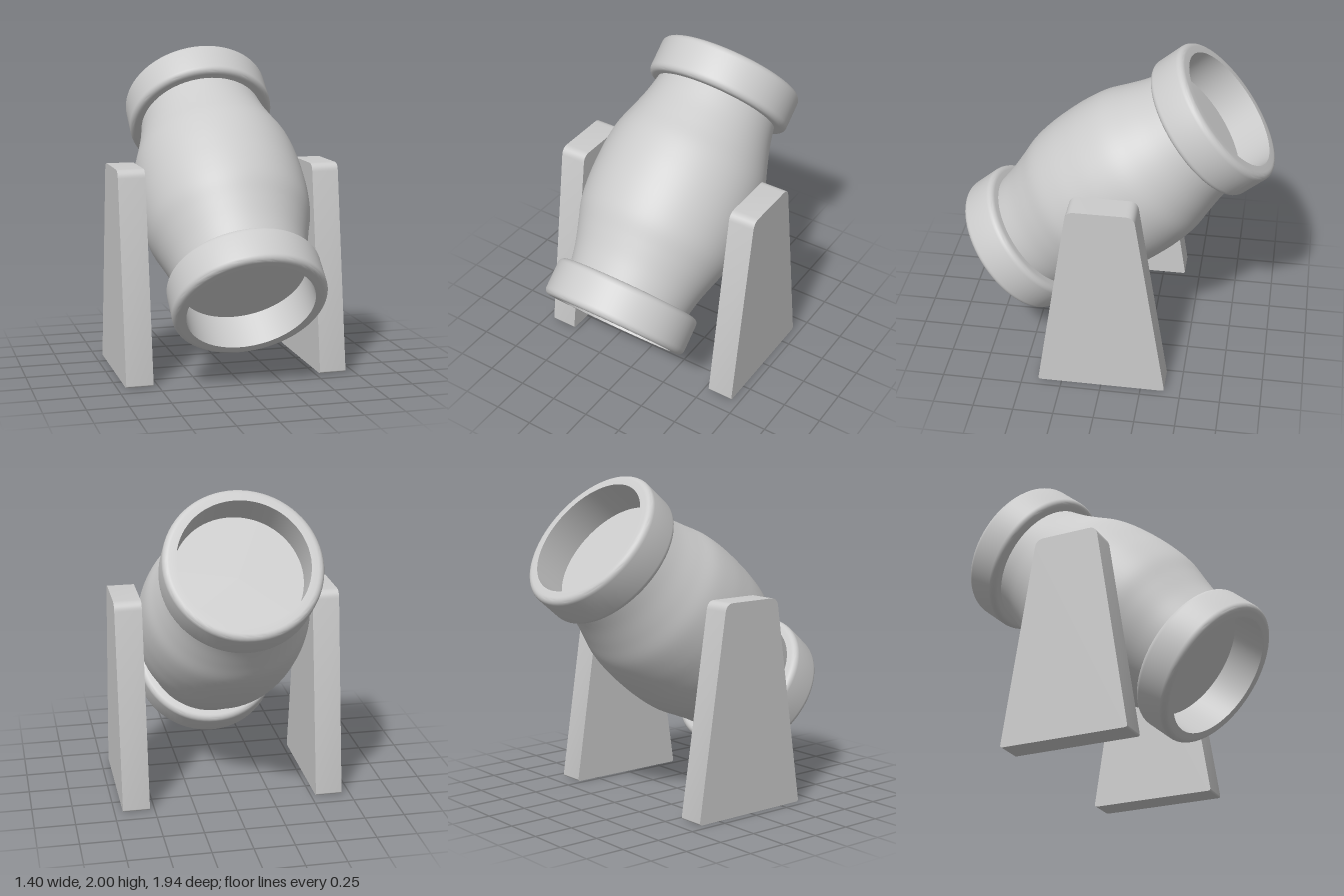
import * as THREE from 'three';
import { toCreasedNormals } from 'three/addons/utils/BufferGeometryUtils.js';

const material = new THREE.MeshStandardMaterial({ color: 0xcccccc });

function part(name, geometry) {
  const mesh = new THREE.Mesh(toCreasedNormals(geometry, 0.5), material);
  mesh.name = name;
  return mesh;
}

// Quarter-circle points for a rounded corner
function fillet(cx, cy, r, start) {
  return Array.from({ length: 7 }, (_, i) => {
    const a = start + (i / 6) * Math.PI / 2;
    return new THREE.Vector2(cx + r * Math.cos(a), cy + r * Math.sin(a));
  });
}

// Bulging body closed by a flat disc at each end
function bodyGeometry() {
  const half = [[0.13, 0.526], [0.27, 0.507], [0.4, 0.465], [0.53, 0.425], [0.66, 0.397]];
  const v = (y, r) => new THREE.Vector2(r, y);
  const side = new THREE.SplineCurve([
    ...half.map(([y, r]) => v(-y, r)).reverse(),
    v(0, 0.53),
    ...half.map(([y, r]) => v(y, r)),
  ]).getPoints(48);
  return new THREE.LatheGeometry([v(-0.66, 0), ...side, v(0.66, 0)], 72);
}

// Hollow collar, rounded on its outer edges
function collarGeometry() {
  const inner = 0.39, outer = 0.47, low = 0.645, high = 0.89, r = 0.038;
  return new THREE.LatheGeometry([
    new THREE.Vector2(inner, low),
    ...fillet(outer - r, low + r, r, -Math.PI / 2),
    ...fillet(outer - r, high - r, r, 0),
    new THREE.Vector2(inner, high),
    new THREE.Vector2(inner, low),
  ], 72);
}

// Tapered side plate with rounded corners
function standGeometry() {
  const corners = [[-0.4, 0, 0.018], [0.4, 0, 0.018], [0.2, 1.295, 0.05], [-0.2, 1.295, 0.05]];
  const shape = new THREE.Shape();
  corners.forEach(([x, y, r], i) => {
    const here = new THREE.Vector2(x, y);
    const toward = (j) => {
      const c = corners[(j + 4) % 4];
      return new THREE.Vector2(c[0], c[1]).sub(here).setLength(r).add(here);
    };
    const a = toward(i - 1), b = toward(i + 1);
    if (i === 0) shape.moveTo(a.x, a.y);
    else shape.lineTo(a.x, a.y);
    shape.quadraticCurveTo(x, y, b.x, b.y);
  });
  shape.closePath();
  const depth = 0.168;
  return new THREE.ExtrudeGeometry(shape, { depth, bevelEnabled: false, curveSegments: 6 })
    .translate(0, 0, -depth / 2)
    .rotateY(Math.PI / 2);
}

export function createModel() {
  const model = new THREE.Group();
  model.name = 'tiltedBarrelOnStands';

  // Barrel, raised 40 degrees toward the back
  const barrel = new THREE.Group();
  barrel.name = 'barrel';
  barrel.position.y = 1.087;
  barrel.rotation.x = THREE.MathUtils.degToRad(-50);
  barrel.add(part('body', bodyGeometry()));
  const rear = part('rearCollar', collarGeometry());
  const front = part('frontCollar', collarGeometry());
  front.rotation.x = Math.PI;
  barrel.add(rear, front);
  model.add(barrel);

  // One stand on each side
  for (const [name, s] of [['leftStand', 1], ['rightStand', -1]]) {
    const stand = part(name, standGeometry());
    stand.position.x = s * 0.614;
    model.add(stand);
  }
  return model;
}
